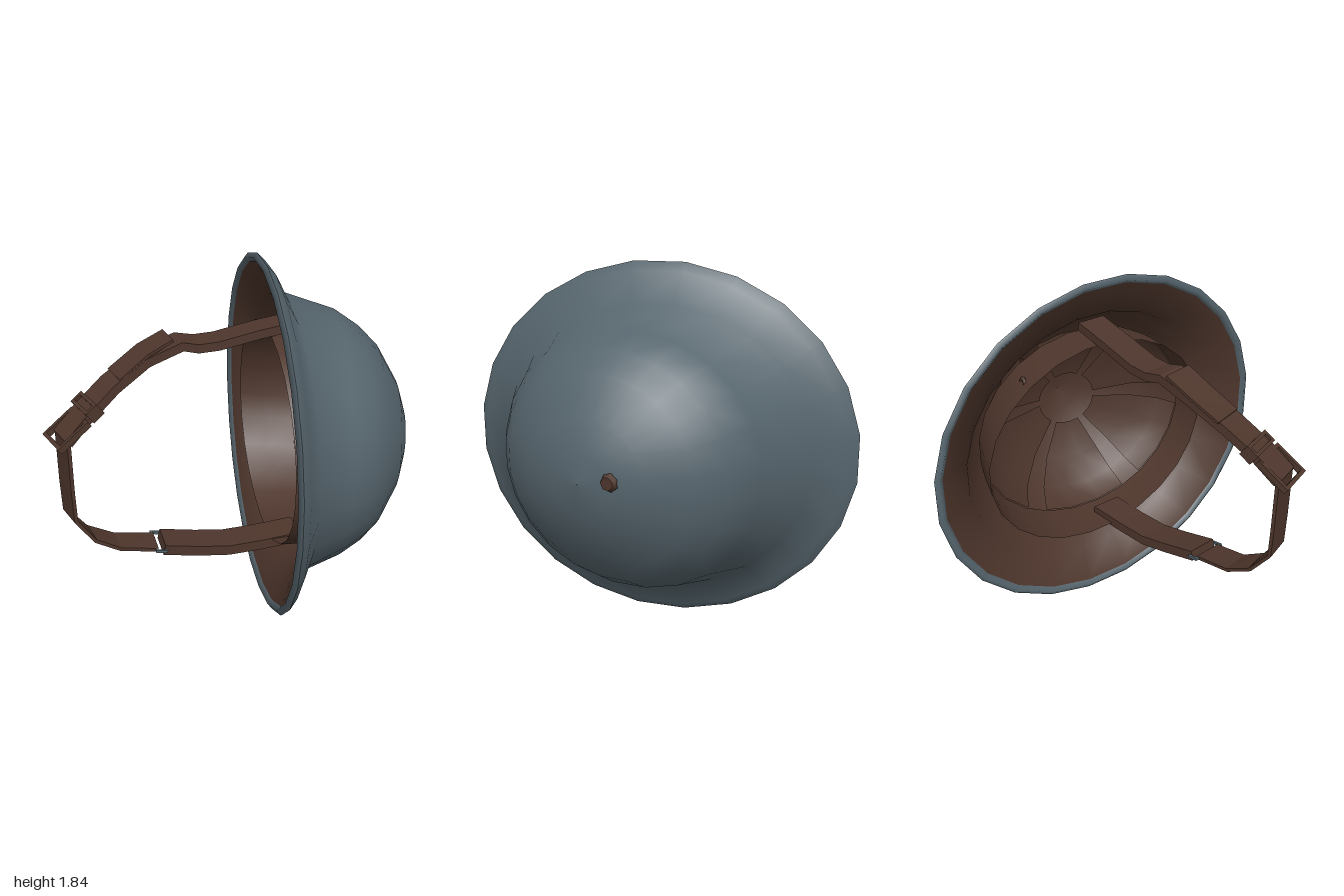
import * as THREE from 'three';

const steel = new THREE.MeshStandardMaterial({ color: 0x56656d, side: THREE.DoubleSide });
steel.name = 'blue grey steel';
const leather = new THREE.MeshStandardMaterial({ color: 0x4e362c, side: THREE.DoubleSide });
leather.name = 'brown leather';

const TAU = Math.PI * 2;
const CY = 0.93;

// Surface through tilted ellipses: [x, tilt, zCentre, zRadius, yRadius]
function loft(rings, sides = 24, from = TAU / 48, to = from + TAU) {
  const closed = to - from > TAU - 0.01;
  const cols = closed ? sides : sides + 1;
  const pos = [], idx = [];
  rings.forEach(([x, tilt, zc, rz, ry]) => {
    for (let j = 0; j < cols; j++) {
      const a = from + ((to - from) * j) / sides;
      const z = zc + rz * Math.cos(a);
      pos.push(x + tilt * z, CY + ry * Math.sin(a), z);
    }
  });
  for (let i = 0; i < rings.length - 1; i++) {
    for (let j = 0; j < sides; j++) {
      const k = (j + 1) % cols;
      const a = i * cols + j, b = i * cols + k, c = a + cols, d = b + cols;
      idx.push(a, c, b, b, c, d);
    }
  }
  const g = new THREE.BufferGeometry();
  g.setAttribute('position', new THREE.Float32BufferAttribute(pos, 3));
  g.setIndex(idx);
  g.computeVertexNormals();
  return g;
}

// Flat-faced strap along points [x, y, z, yaw of its width]
function strap(points, halfWidth, thickness) {
  const p = points.map(([x, y, z]) => new THREE.Vector3(x, y, z));
  const pos = [], idx = [];
  p.forEach((c, i) => {
    const yaw = points[i][3];
    const w = new THREE.Vector3(Math.sin(yaw), 0, Math.cos(yaw));
    const t = p[Math.min(i + 1, p.length - 1)].clone().sub(p[Math.max(i - 1, 0)]);
    const n = t.cross(w).normalize();
    for (const [u, v] of [[-1, -1], [1, -1], [1, 1], [-1, 1]]) {
      const q = c.clone().addScaledVector(w, u * halfWidth).addScaledVector(n, (v * thickness) / 2);
      pos.push(q.x, q.y, q.z);
    }
  });
  for (let i = 0; i < p.length - 1; i++) {
    for (let j = 0; j < 4; j++) {
      const a = i * 4 + j, b = i * 4 + ((j + 1) % 4);
      idx.push(a, b, a + 4, b, b + 4, a + 4);
    }
  }
  const e = (p.length - 1) * 4;
  idx.push(0, 2, 1, 0, 3, 2, e, e + 1, e + 2, e, e + 2, e + 3);
  const g = new THREE.BufferGeometry();
  g.setAttribute('position', new THREE.Float32BufferAttribute(pos, 3));
  g.setIndex(idx);
  const flat = g.toNonIndexed();
  flat.computeVertexNormals();
  return flat;
}

// Rectangular frame with an open middle
function frame(w, h, bar, depth) {
  const rect = (T, a, b) => new T([[-a, -b], [a, -b], [a, b], [-a, b]].map(([x, y]) => new THREE.Vector2(x, y)));
  const s = rect(THREE.Shape, w / 2, h / 2);
  s.holes.push(rect(THREE.Path, w / 2 - bar, h / 2 - bar));
  return new THREE.ExtrudeGeometry(s, { depth, bevelEnabled: false }).translate(0, 0, -depth / 2);
}

export function createModel() {
  const model = new THREE.Group();
  const add = (name, geometry, material, parent = model) => {
    const m = new THREE.Mesh(geometry, material);
    m.name = name;
    parent.add(m);
    return m;
  };

  // Steel bowl and brim
  const shell = [
    [0.12, 0.2, 0, 1.0, 0.93],
    [0.165, 0.2, -0.01, 0.95, 0.885],
    [0.245, 0.21, -0.03, 0.79, 0.73],
    [0.5, 0.1, -0.03, 0.68, 0.645],
    [0.62, 0.06, -0.015, 0.595, 0.565],
    [0.715, 0.03, 0, 0.5, 0.47],
    [0.82, 0.01, 0, 0.315, 0.285],
    [0.865, 0, 0, 0.15, 0.14],
    [0.88, 0, 0, 0.002, 0.002],
  ];
  add('helmetShell', loft(shell), steel);

  // Rolled edge of the brim
  const lip = [0.125, 0.2, 0, 0.955, 0.885];
  add('brimEdge', loft([lip, [0.1, 0.2, 0, 0.975, 0.905], shell[0]]), steel);

  // Brown inner lining
  const inside = shell.slice(2).map(([x, t, zc, rz, ry]) =>
    [x - 0.022, t, zc, Math.max(rz - 0.022, 0.002), Math.max(ry - 0.022, 0.002)]);
  add('innerLining', loft([lip, ...inside].reverse()), leather);

  // Headband with tongues folding in towards the crown
  const liner = new THREE.Group();
  liner.name = 'liner';
  model.add(liner);
  add('headband', loft([
    [0.15, 0.22, -0.02, 0.68, 0.57],
    [0.28, 0.2, -0.02, 0.665, 0.565],
    [0.4, 0.14, -0.02, 0.64, 0.56],
  ]), leather, liner);
  for (let k = 0; k < 6; k++) {
    const a = ((k + 0.5) * TAU) / 6;
    add('linerTongue', loft([
      [0.4, 0.14, -0.02, 0.635, 0.555],
      [0.54, 0.08, -0.01, 0.55, 0.5],
      [0.65, 0.03, 0, 0.4, 0.37],
      [0.71, 0, 0, 0.17, 0.16],
    ], 3, a - 0.42, a + 0.42), leather, liner);
  }

  // Rivets: one on the crown, one inside
  const rivet = new THREE.CylinderGeometry(0.032, 0.045, 0.025, 7).rotateZ(-Math.PI / 2);
  add('crownRivet', rivet, leather).position.set(0.873, 0.96, -0.16);
  add('linerRivet', new THREE.TorusGeometry(0.025, 0.01, 5, 8), leather).position.set(0.16, 1.36, -0.44);

  // Chin strap in three lengths
  add('upperStrap', strap([
    [0.32, 1.55, 0, 0.25], [0.1, 1.51, 0.05, 0.25], [-0.1, 1.465, 0.1, 0.25],
    [-0.2, 1.46, 0.13, 0.28], [-0.28, 1.48, 0.16, 0.35], [-0.45, 1.42, 0.23, 0.45],
    [-0.6, 1.32, 0.33, 0.55], [-0.72, 1.21, 0.43, 0.57], [-0.81, 1.11, 0.5, 0.57],
  ], 0.08, 0.045), leather);
  add('strapTip', strap([
    [-0.58, 1.36, 0.31, 0.5], [-0.45, 1.455, 0.22, 0.45], [-0.33, 1.515, 0.17, 0.4],
  ], 0.085, 0.014), leather);
  add('chinStrap', strap([
    [-0.81, 1.13, 0.5, 0.57], [-0.81, 0.85, 0.5, 0.57], [-0.805, 0.69, 0.5, 0.57],
    [-0.72, 0.56, 0.46, 0.5], [-0.6, 0.485, 0.41, 0.42], [-0.41, 0.45, 0.35, 0.3],
  ], 0.08, 0.018), leather);
  add('lowerStrap', strap([
    [-0.38, 0.445, 0.34, 0.3], [-0.2, 0.4, 0.27, 0.28], [-0.05, 0.37, 0.21, 0.28],
    [0.12, 0.37, 0.15, 0.25], [0.32, 0.38, 0.08, 0.25],
  ], 0.085, 0.055), leather);

  // Buckles: frame width follows the strap width, height runs along the strap
  const buckle = (name, at, yaw, along, geometry, material) => {
    const w = new THREE.Vector3(Math.sin(yaw), 0, Math.cos(yaw));
    const n = w.clone().cross(new THREE.Vector3(...along)).normalize();
    const m = add(name, geometry, material);
    m.quaternion.setFromRotationMatrix(new THREE.Matrix4().makeBasis(w, n.clone().cross(w), n));
    m.position.set(...at);
  };
  buckle('chinBuckle', [-0.79, 1.15, 0.49], 0.57, [0.12, 0.1, -0.08], frame(0.21, 0.19, 0.02, 0.03), leather);
  buckle('strapKeeper', [-0.7, 1.235, 0.41], 0.57, [0.12, 0.11, -0.09], frame(0.19, 0.07, 0.018, 0.065), leather);
  buckle('lowerLoop', [-0.395, 0.448, 0.345], 0.3, [0.2, -0.04, -0.07], frame(0.2, 0.06, 0.012, 0.015), steel);

  return model;
}
